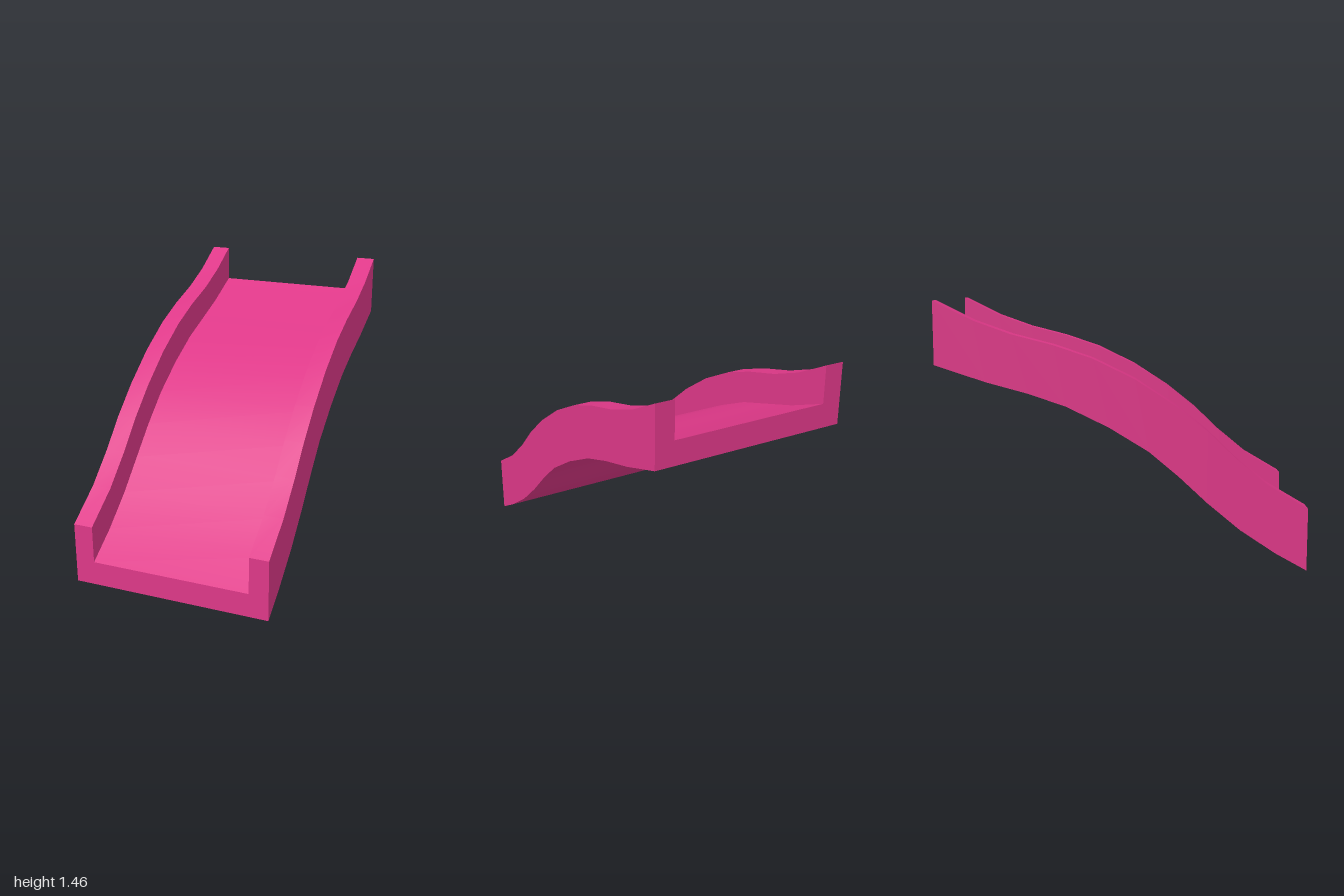
import * as THREE from 'three';

// side outline as [z, y], from the low front end to the high back end
const RIM = [[1, 0.345], [0.78, 0.475], [0.605, 0.62], [0.455, 0.765], [0.28, 0.905], [0.065, 1.045],
  [-0.16, 1.155], [-0.365, 1.225], [-0.59, 1.283], [-0.79, 1.355], [-1, 1.46]];
const BASE = [[1, 0], [0.83, 0.095], [0.635, 0.225], [0.455, 0.375], [0.3, 0.52], [0.14, 0.655],
  [-0.075, 0.787], [-0.305, 0.9], [-0.505, 0.968], [-0.73, 1.03], [-1, 1.12]];
const OUTER = 0.55, INNER = 0.443, FLOOR = 0.393;

// U-shaped section as [x, height from base 0 to rim 1], counter-clockwise
const SECTION = [[-OUTER, 0], [OUTER, 0], [OUTER, 1], [INNER, 1], [INNER, FLOOR],
  [-INNER, FLOOR], [-INNER, 1], [-OUTER, 1]];
const FACES = ['underside', 'leftOuterWall', 'leftRim', 'leftInnerWall', 'slideBed',
  'rightInnerWall', 'rightRim', 'rightOuterWall'];

function pointAt([x, t], k) {
  const [z0, y0] = BASE[k], [z1, y1] = RIM[k];
  return [x, y0 + (y1 - y0) * t, z0 + (z1 - z0) * t];
}

// one smooth strip along the length, between two section corners
function strip(a, b) {
  const positions = [], index = [];
  RIM.forEach((_, k) => {
    positions.push(...pointAt(a, k), ...pointAt(b, k));
    if (k === 0) return;
    const i = 2 * (k - 1);
    index.push(i, i + 2, i + 1, i + 1, i + 2, i + 3);
  });
  const geometry = new THREE.BufferGeometry();
  geometry.setAttribute('position', new THREE.Float32BufferAttribute(positions, 3));
  geometry.setIndex(index);
  geometry.computeVertexNormals();
  return geometry;
}

// flat U-shaped end
function endCap(k) {
  const corners = SECTION.map((c) => pointAt(c, k));
  return new THREE.ShapeGeometry(new THREE.Shape(corners.map(([x, y]) => new THREE.Vector2(x, y))));
}

export function createModel() {
  const group = new THREE.Group();
  group.name = 'slide';
  const pink = new THREE.MeshStandardMaterial({ color: 0xde3888 });
  pink.name = 'pink';

  const add = (name, geometry) => {
    const mesh = new THREE.Mesh(geometry, pink);
    mesh.name = name;
    group.add(mesh);
    return mesh;
  };

  // long faces
  FACES.forEach((name, i) => add(name, strip(SECTION[i], SECTION[(i + 1) % SECTION.length])));

  // ends
  add('frontEnd', endCap(0)).position.z = 1;
  const back = add('backEnd', endCap(RIM.length - 1));
  back.rotation.y = Math.PI;
  back.position.z = -1;

  return group;
}
